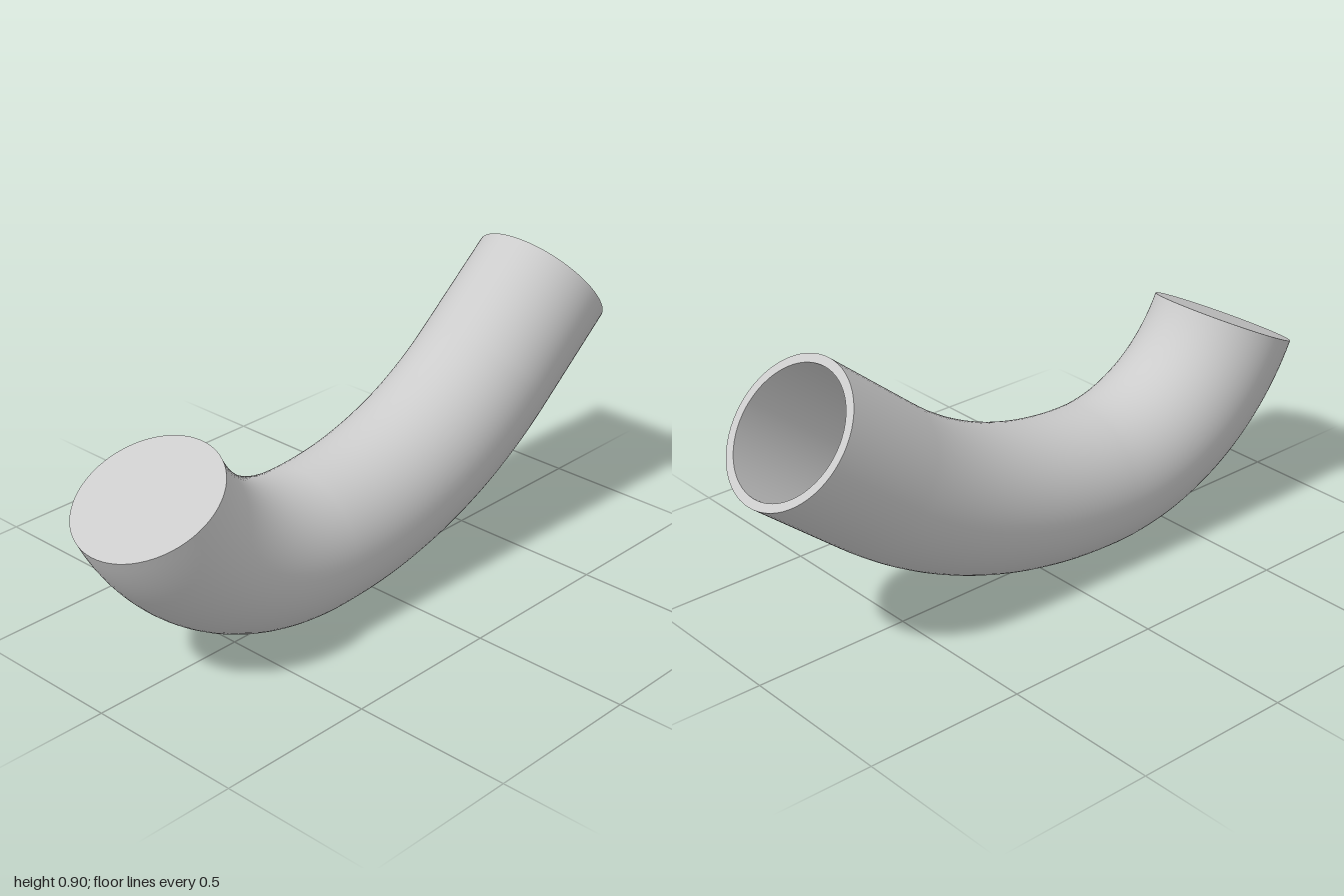
import * as THREE from 'three';

const OUTER = 0.2235, INNER = 0.197, SIDES = 64;
const rad = THREE.MathUtils.degToRad;
const FRONT = rad(-63.8), BACK = rad(39);

// Point of the pipe's centre line: tight bend in front, wide bend behind, then a straight run
function station(h, run = 0) {
  const r = h < 0 ? 0.645 : 1.275;
  return {
    y: OUTER + r * (1 - Math.cos(h)) + run * Math.sin(h),
    z: 0.22 - r * Math.sin(h) - run * Math.cos(h),
    h,
  };
}

// Skin circular sections [station, radius] in order
function skin(sections) {
  const pos = [], index = [];
  for (const [s, r] of sections) {
    for (let i = 0; i < SIDES; i++) {
      const a = (i / SIDES) * Math.PI * 2;
      const up = Math.sin(a) * r;
      pos.push(Math.cos(a) * r, s.y - up * Math.cos(s.h), s.z - up * Math.sin(s.h));
    }
  }
  for (let j = 0; j < sections.length - 1; j++) {
    for (let i = 0; i < SIDES; i++) {
      const k = (i + 1) % SIDES;
      const a = j * SIDES + i, b = j * SIDES + k, c = a + SIDES, d = b + SIDES;
      index.push(a, b, c, b, d, c);
    }
  }
  const g = new THREE.BufferGeometry();
  g.setAttribute('position', new THREE.Float32BufferAttribute(pos, 3));
  g.setIndex(index);
  g.computeVertexNormals();
  return g;
}

export function createModel() {
  const group = new THREE.Group();
  group.name = 'bentPipe';
  const material = new THREE.MeshStandardMaterial({ color: 0xcccccc });
  const add = (name, sections) => {
    const mesh = new THREE.Mesh(skin(sections), material);
    mesh.name = name;
    group.add(mesh);
  };

  // Centre line from the closed front end to the open back end
  const path = [];
  for (let i = 0; i <= 28; i++) path.push(station(FRONT * (1 - i / 28)));
  for (let i = 1; i <= 24; i++) path.push(station(BACK * (i / 24)));
  path.push(station(BACK, 0.352));
  const first = path[0], last = path[path.length - 1];

  add('outerWall', path.map((s) => [s, OUTER]));
  add('openRim', [[last, OUTER], [last, INNER]]);
  add('frontCap', [[first, 0], [first, OUTER]]);

  // Bore, stopping one wall thickness short of the cap
  const bore = path.slice(1).reverse();
  const end = bore[bore.length - 1];
  add('bore', bore.map((s) => [s, INNER]));
  add('boreFloor', [[end, INNER], [end, 0]]);
  return group;
}
